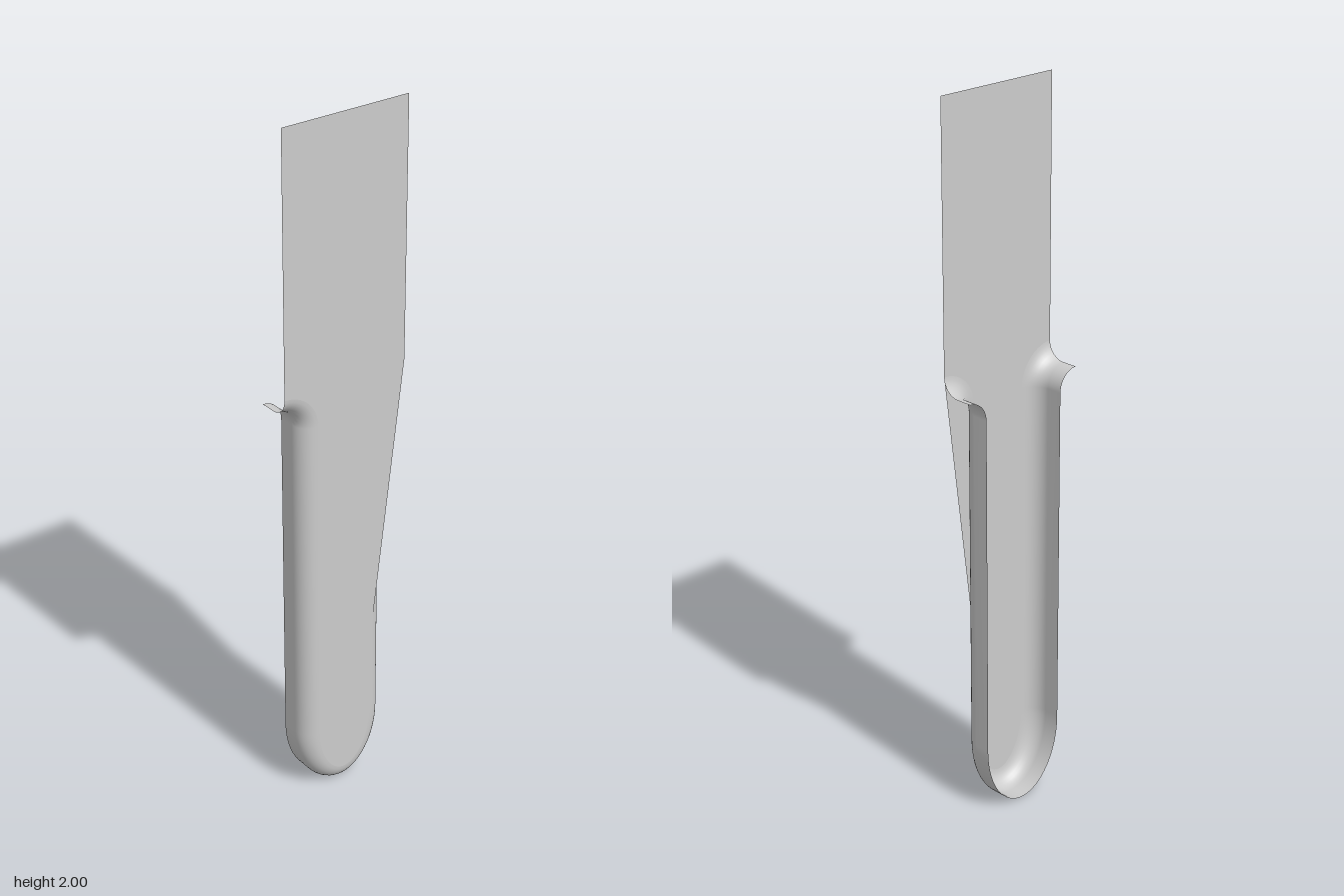
import * as THREE from 'three';

const HALF_TOP = 0.192;   // half width of the upper plate
const HALF_STEM = 0.135;  // half width of the stem
const FRONT = 0.047, BACK = -0.047;
const ROLL = 0.049;       // radius of the rolled edge
const SHOULDER = 0.06, SHOULDER_Y = 1.17, TIP = 0.2;

// Outline of the wall as [x, y, outward nx, outward ny]: shoulder, stem, round tip, stem, shoulder
function outline() {
  const half = [];
  for (let i = 0; i <= 10; i++) {
    const a = (Math.PI / 2) * (1 - i / 10), c = Math.cos(a), s = Math.sin(a);
    half.push([-HALF_TOP + (HALF_TOP - HALF_STEM) * c, SHOULDER_Y + SHOULDER * s, -c, -s]);
  }
  for (let i = 0; i <= 16; i++) {
    const t = Math.PI + (i / 16) * (Math.PI / 2), c = Math.cos(t), s = Math.sin(t);
    const n = new THREE.Vector2(c / HALF_STEM, s / TIP).normalize();
    half.push([HALF_STEM * c, TIP + TIP * s, n.x, n.y]);
  }
  const mirrored = half.slice(0, -1).reverse().map(([x, y, nx, ny]) => [-x, y, -nx, ny]);
  return half.concat(mirrored);
}

// Wall cross-section as [inset, z]: straight back part, then a quarter round to the front
function section() {
  const pts = [[0, BACK]];
  for (let i = 0; i <= 8; i++) {
    const a = (i / 8) * (Math.PI / 2);
    pts.push([ROLL * (1 - Math.cos(a)), FRONT - ROLL + ROLL * Math.sin(a)]);
  }
  return pts;
}

function sweepWall(path, profile) {
  const pos = [], index = [], n = profile.length;
  path.forEach(([x, y, nx, ny], i) => {
    profile.forEach(([d, z], j) => {
      pos.push(x - nx * d, y - ny * d, z);
      if (i < path.length - 1 && j < n - 1) {
        const a = i * n + j, b = a + n;
        index.push(a, b, b + 1, a, b + 1, a + 1);
      }
    });
  });
  const g = new THREE.BufferGeometry();
  g.setAttribute('position', new THREE.Float32BufferAttribute(pos, 3));
  g.setIndex(index);
  g.computeVertexNormals();
  return g;
}

export function createModel() {
  const group = new THREE.Group();
  group.name = 'stampedBlade';
  const material = new THREE.MeshStandardMaterial({ color: 0xcccccc, side: THREE.DoubleSide });
  const path = outline();

  // Rolled rim, open at the back
  const rim = new THREE.Mesh(sweepWall(path, section()), material);
  rim.name = 'rolledRim';
  group.add(rim);

  // Flat front sheet; its left edge runs straight as a web from the stem to the shoulder
  const inset = path.map(([x, y, nx, ny]) => new THREE.Vector2(x - nx * ROLL, y - ny * ROLL));
  const shoulderY = SHOULDER_Y + SHOULDER + ROLL;
  const edge = inset.filter((p) => p.x < 0.01 || p.y < 0.43);
  const shape = new THREE.Shape([
    new THREE.Vector2(-HALF_TOP, 2),
    ...edge,
    new THREE.Vector2(HALF_STEM - ROLL, 0.43),
    new THREE.Vector2(HALF_TOP, shoulderY),
    new THREE.Vector2(HALF_TOP, 2),
  ]);
  const plate = new THREE.Mesh(new THREE.ShapeGeometry(shape), material);
  plate.name = 'frontPlate';
  plate.position.z = FRONT;
  group.add(plate);

  return group;
}
